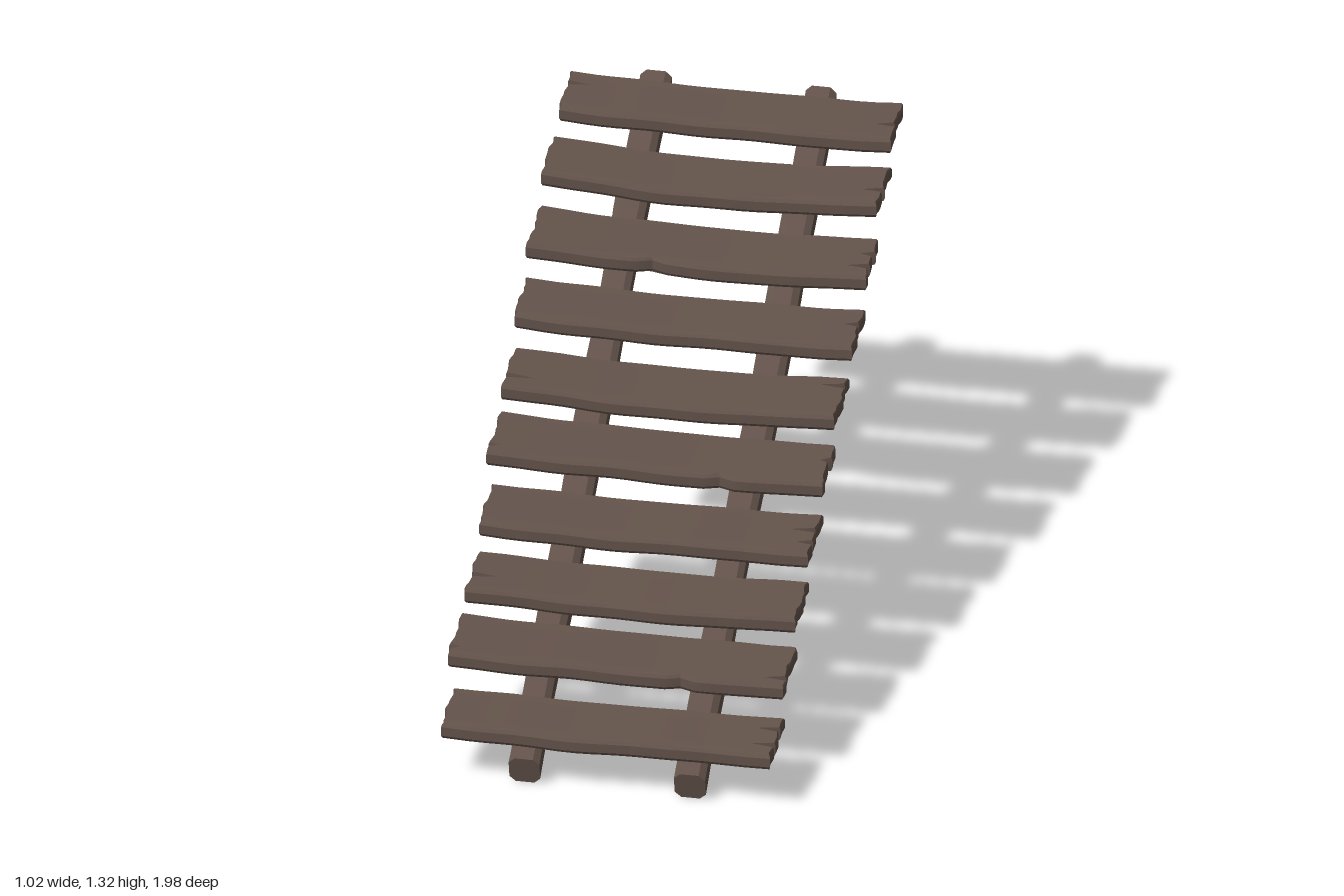
import * as THREE from 'three';
import { toCreasedNormals } from 'three/addons/utils/BufferGeometryUtils.js';

// Treads, bottom to top: front z, back z, underside y at the front, sag,
// left/right end notches as [row 1-9 from front, depth], chip along the front edge at x
const TREADS = [
  { f: 0.99, b: 0.79, y: 0.138, sag: 0.006, xl: -0.49, xr: 0.49, nl: [], nr: [[3, 0.07], [7, 0.06]] },
  { f: 0.81, b: 0.595, y: 0.275, sag: 0.008, xl: -0.505, xr: 0.49, nl: [[2, 0.03]], nr: [[2, 0.06]], chip: 0.16 },
  { f: 0.625, b: 0.42, y: 0.39, sag: 0.008, xl: -0.49, xr: 0.49, nl: [[4, 0.08]], nr: [] },
  { f: 0.43, b: 0.22, y: 0.508, sag: 0.01, xl: -0.49, xr: 0.49, nl: [], nr: [[3, 0.05], [6, 0.07]] },
  { f: 0.23, b: 0.015, y: 0.632, sag: 0.01, xl: -0.505, xr: 0.49, nl: [[2, 0.03]], nr: [[6, 0.03]], chip: 0.16 },
  { f: 0.04, b: -0.17, y: 0.748, sag: 0.015, xl: -0.5, xr: 0.49, nl: [[3, 0.08]], nr: [[8, 0.07]] },
  { f: -0.165, b: -0.365, y: 0.875, sag: 0.014, xl: -0.505, xr: 0.5, nl: [], nr: [[6, 0.04]] },
  { f: -0.365, b: -0.575, y: 0.997, sag: 0.015, xl: -0.505, xr: 0.5, nl: [], nr: [[3, 0.06], [6, 0.04]], chip: -0.15 },
  { f: -0.57, b: -0.765, y: 1.128, sag: 0.024, xl: -0.505, xr: 0.495, nl: [], nr: [[4, 0.06]] },
  { f: -0.76, b: -0.955, y: 1.245, sag: 0.012, xl: -0.49, xr: 0.495, nl: [[7, 0.06]], nr: [[4, 0.05]] },
];

// Smooth repeatable unevenness in -1..1
const wobble = (a, seed) => 0.6 * Math.sin(a * 9 + seed * 2.3) + 0.4 * Math.sin(a * 23 + seed * 4.1);

// Runs a rule over every vertex, then restores clean normals
function deform(geometry, rule) {
  const p = geometry.attributes.position;
  const v = new THREE.Vector3();
  for (let i = 0; i < p.count; i++) {
    v.fromBufferAttribute(p, i);
    rule(v);
    p.setXYZ(i, v.x, v.y, v.z);
  }
  geometry.deleteAttribute('uv');
  return toCreasedNormals(geometry, 0.5);
}

// Sagging plank with split ends and worn edges
function treadGeometry(t, seed) {
  const COLS = 20, ROWS = 10;
  const inner = 0.41 / (0.5 - 1 / COLS);
  const chipCol = t.chip === undefined ? null : Math.round(t.chip / inner * COLS);
  return deform(new THREE.BoxGeometry(1, 1, 1, COLS, 3, ROWS), (v) => {
    const col = Math.round(v.x * COLS);
    const row = Math.round((0.5 - v.z) * ROWS);
    const atEnd = Math.abs(col) === COLS / 2;
    const worn = Math.abs(v.y) > 0.4;
    const h = worn ? v.y : v.y * 1.8;
    let depth = row / ROWS;
    let x = v.x * inner;
    if (atEnd) {
      const side = Math.sign(v.x);
      x = (side > 0 ? t.xr : t.xl) + 0.006 * wobble(depth, seed + side);
      for (const [n, d] of side > 0 ? t.nr : t.nl) {
        if (row === n) x -= side * d;
        if (Math.abs(row - n) === 1 && row > 0 && row < ROWS) depth += (n - row) * 0.045;
      }
      if (worn) x -= side * 0.004;
    }
    let z = t.f + (t.b - t.f) * depth;
    if (row === 0) {
      z += 0.005 * wobble(x, seed) - 0.004 - (worn ? 0.006 : 0);
      if (col === chipCol) z -= 0.016;
    }
    if (row === ROWS) z += 0.004 * wobble(x, seed + 5) + (worn ? 0.006 : 0);
    const bend = t.sag * (Math.pow(x / 0.5, 2) - 0.8) + 0.003 * wobble(x * 0.7, seed + 2);
    const thickness = 0.047 - 0.006 * depth;
    v.set(x, t.y + (h + 0.5) * thickness + 0.027 * depth + bend, z);
  });
}

// Rough-hewn sloping beam with chamfered corners and a swollen knot
function stringerGeometry(side) {
  const flat = (c) => (Math.abs(c) < 0.01 ? 0 : Math.sign(c) * (Math.abs(c) > 0.5 ? 1 : 0.6));
  const geometry = new THREE.CylinderGeometry(1, 1, 1, 8, 26, false, Math.PI / 8);
  return deform(geometry, (v) => {
    const t = v.y + 0.5;
    const cx = flat(v.x), cy = flat(v.z);
    const knot = Math.exp(-Math.pow((t - 0.83) / 0.025, 2));
    const halfWidth = 0.046 + 0.003 * wobble(t, side) + 0.006 * knot;
    const halfHeight = 0.043 - 0.003 * Math.sin(t * Math.PI) + 0.002 * wobble(t, side + 3);
    const x = side * 0.246 + cx * halfWidth + 0.003 * wobble(t * 0.8, side + 6);
    const y = 0.045 + 1.232 * t + cy * halfHeight - (cy < 0 ? 0.008 * knot : 0);
    const z = 0.96 - 1.95 * t + cy * 0.01 * (1 - t);
    v.set(x, Math.max(0, y), z);
  });
}

export function createModel() {
  const group = new THREE.Group();
  group.name = 'woodenStairs';
  const wood = new THREE.MeshStandardMaterial({ color: 0x62524a });
  wood.name = 'dark weathered wood';

  const add = (name, geometry) => {
    const mesh = new THREE.Mesh(geometry, wood);
    mesh.name = name;
    group.add(mesh);
    return mesh;
  };

  add('leftStringer', stringerGeometry(1));
  add('rightStringer', stringerGeometry(-1));
  TREADS.forEach((t, i) => add(`tread${i + 1}`, treadGeometry(t, i + 1)));

  // Splinter hanging under the second tread
  const splinter = add('splinter', new THREE.ConeGeometry(0.011, 0.04, 5));
  splinter.rotation.x = Math.PI;
  splinter.position.set(0, 0.265, 0.765);

  return group;
}
